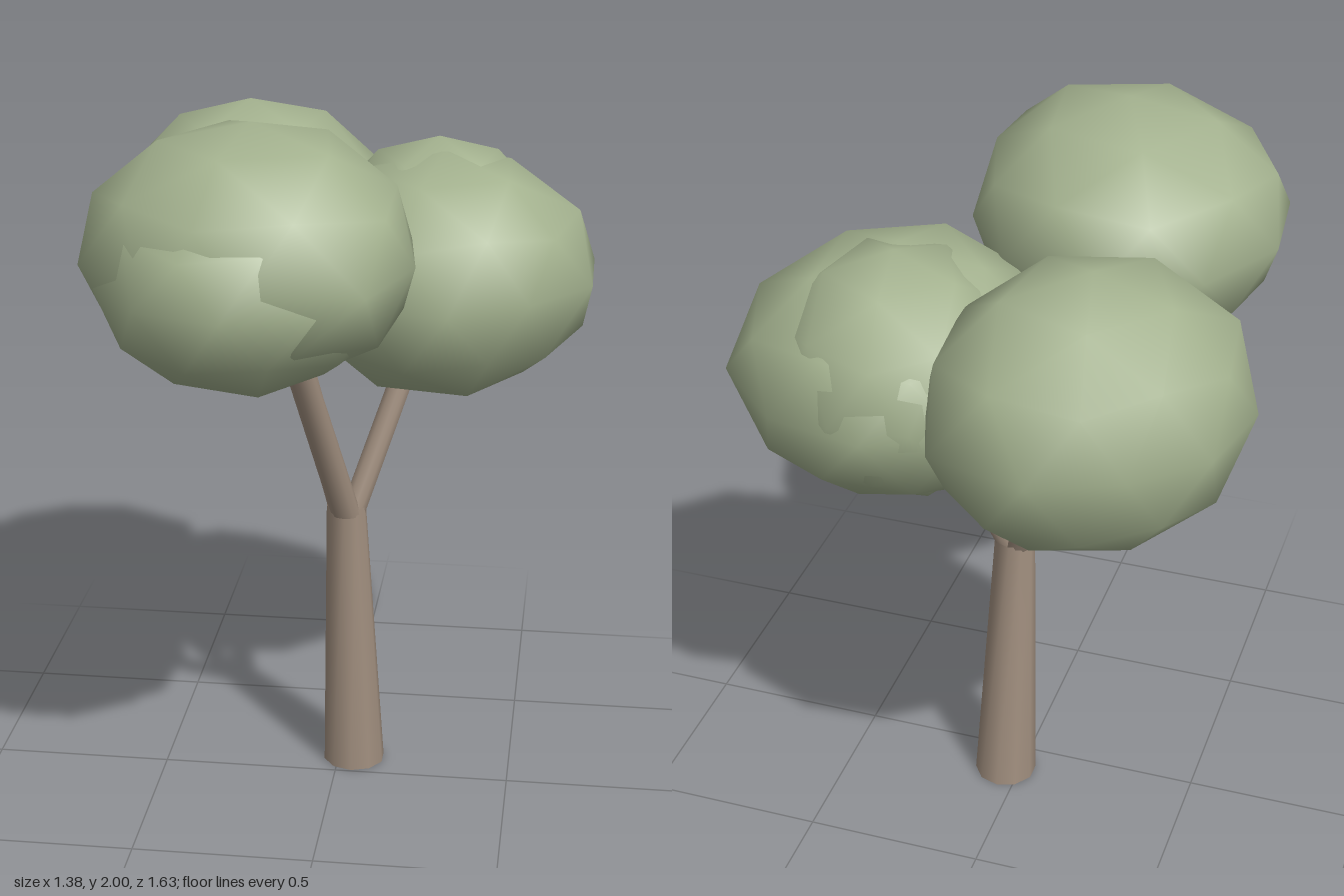
import * as THREE from 'three';
import { mergeVertices } from 'three/addons/utils/BufferGeometryUtils.js';

const leafGreen = new THREE.MeshStandardMaterial({ color: 0xa4b28f });
leafGreen.name = 'leafGreen';
const barkBrown = new THREE.MeshStandardMaterial({ color: 0xa18f7f, side: THREE.DoubleSide });
barkBrown.name = 'barkBrown';

// Weld the corners and smooth the normals across them
function mergeSmooth(geo) {
  geo.deleteAttribute('uv');
  geo.deleteAttribute('normal');
  const welded = mergeVertices(geo, 1e-4);
  welded.computeVertexNormals();
  return welded;
}

// Open tapered tube whose ends stay level: each ring is centred on its own end point
function limb(name, from, to, r0, r1) {
  const height = to[1] - from[1];
  const geo = new THREE.CylinderGeometry(r1, r0, height, 10, 1, true);
  const p = geo.attributes.position;
  for (let i = 0; i < p.count; i++) {
    const t = p.getY(i) / height + 0.5;
    p.setXYZ(
      i,
      p.getX(i) + THREE.MathUtils.lerp(from[0], to[0], t),
      from[1] + height * t,
      p.getZ(i) + THREE.MathUtils.lerp(from[2], to[2], t),
    );
  }
  const mesh = new THREE.Mesh(mergeSmooth(geo), barkBrown);
  mesh.name = name;
  return mesh;
}

// Low-poly foliage with upright poles; "outline" lists its radius around the equator,
// starting at angle "start" (from +x towards +z)
function blob(name, center, halfHeight, outline, start) {
  const geo = new THREE.IcosahedronGeometry(1, 1);
  geo.rotateZ(Math.atan(2 / (1 + Math.sqrt(5))));
  geo.rotateY(Math.PI / 10 - start);
  const p = geo.attributes.position;
  const n = outline.length;
  for (let i = 0; i < p.count; i++) {
    const angle = Math.atan2(p.getZ(i), p.getX(i)) - start + 4 * Math.PI;
    const s = (angle / (2 * Math.PI)) * n;
    const k = Math.floor(s);
    const r = THREE.MathUtils.lerp(outline[k % n], outline[(k + 1) % n], s - k);
    p.setXYZ(i, p.getX(i) * r, p.getY(i) * halfHeight, p.getZ(i) * r);
  }
  geo.translate(...center);
  const mesh = new THREE.Mesh(mergeSmooth(geo), leafGreen);
  mesh.name = name;
  return mesh;
}

export function createModel() {
  const tree = new THREE.Group();
  tree.name = 'tree';

  // Leaning trunk and three branches fanning out from its top
  tree.add(
    limb('trunk', [0.045, 0, -0.094], [0.024, 0.82, -0.06], 0.089, 0.056),
    limb('frontBranch', [0.026, 0.8, -0.04], [-0.1, 1.44, 0.245], 0.042, 0.038),
    limb('leftBranch', [0.043, 0.8, -0.06], [0.205, 1.28, -0.19], 0.037, 0.035),
    limb('rightBranch', [0.01, 0.8, -0.07], [-0.147, 1.24, -0.24], 0.037, 0.036),
  );

  // Foliage: a main clump with a smaller one breaking through its surface
  const canopies = [
    {
      name: 'frontCanopy', center: [-0.165, 1.67, 0.35], height: 0.33, start: 0.227,
      outline: [0.43, 0.5, 0.425, 0.42, 0.445, 0.45, 0.46, 0.46, 0.45, 0.42],
      inner: [-0.175, 1.62, 0.43], innerHeight: 0.285, innerRadius: 0.38, innerStart: 0.314,
    },
    {
      name: 'leftCanopy', center: [0.27, 1.455, -0.24], height: 0.342, start: 0.21,
      outline: [0.425, 0.38, 0.44, 0.42, 0.42, 0.42, 0.43, 0.43, 0.435, 0.456],
      inner: [0.25, 1.48, -0.325], innerHeight: 0.34, innerRadius: 0.335, innerStart: 0.5,
    },
    {
      name: 'rightCanopy', center: [-0.29, 1.52, -0.41], height: 0.372, start: 0.42,
      outline: [0.4, 0.4, 0.42, 0.46, 0.41, 0.38, 0.36, 0.41, 0.46, 0.41],
      inner: [-0.27, 1.525, -0.41], innerHeight: 0.35, innerRadius: 0.355, innerStart: 0.7,
    },
  ];
  for (const c of canopies) {
    const group = new THREE.Group();
    group.name = c.name;
    group.add(
      blob(c.name + 'Main', c.center, c.height, c.outline, c.start),
      blob(c.name + 'Inner', c.inner, c.innerHeight, [c.innerRadius], c.innerStart),
    );
    tree.add(group);
  }
  return tree;
}
